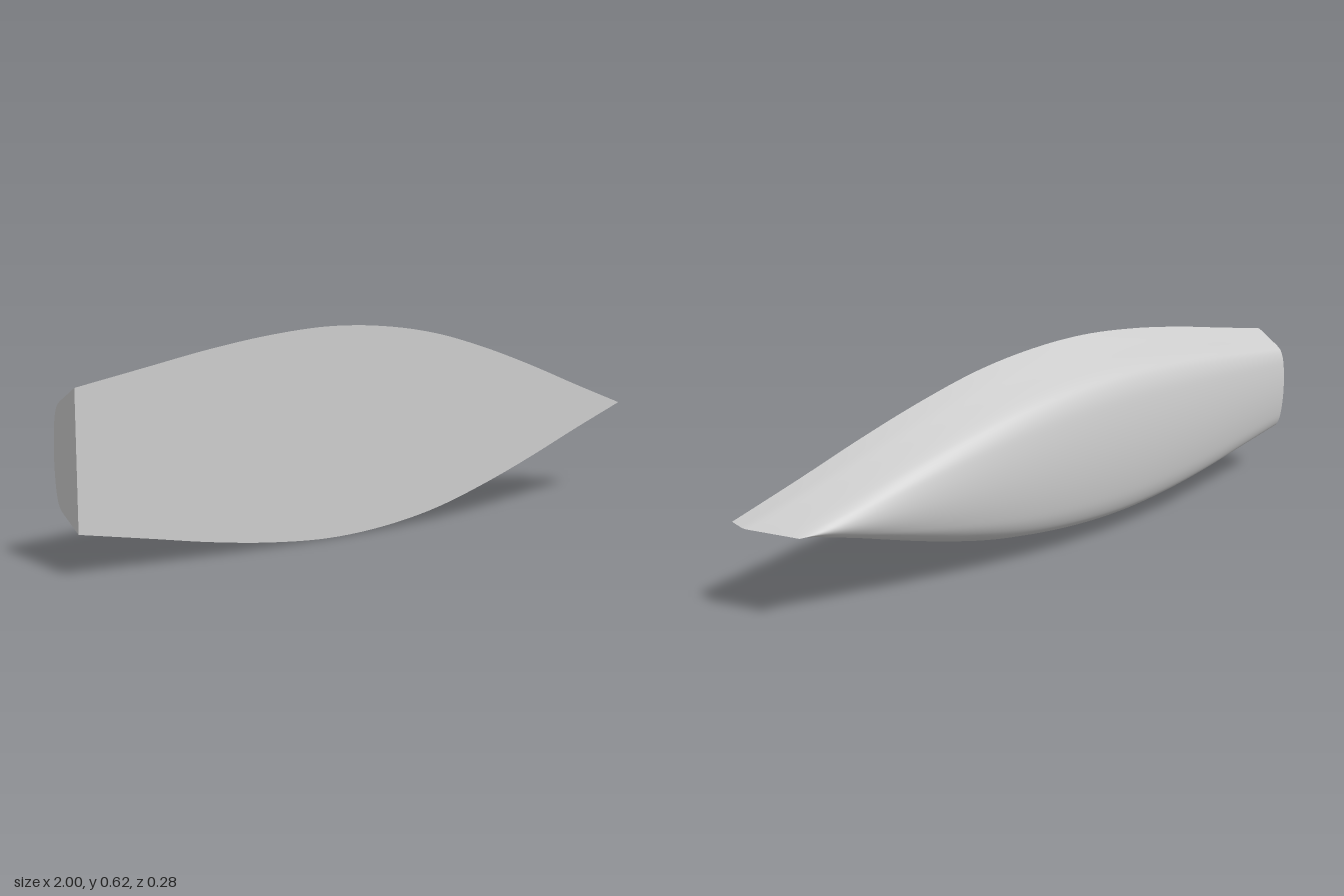
import * as THREE from 'three';

// Stations run from the transom (-x) to the bow (+x), evenly spaced.
const HALF_WIDTH = [0.19, 0.228, 0.266, 0.295, 0.31, 0.302, 0.272, 0.218, 0.15, 0.074, 0];
const DECK_Z = [0.07, 0.073, 0.077, 0.081, 0.085, 0.09, 0.097, 0.105, 0.115, 0.126, 0.139];
const KEEL_Z = [-0.055, -0.08, -0.105, -0.125, -0.136, -0.14, -0.139, -0.132, -0.121, -0.104, -0.075];
const MID_Y = 0.31;
const STATIONS = 60;
const AROUND = 56;

// Half cross-section as [share of width, share of depth], deck edge to keel
const HALF_SECTION = [[1, 0], [0.935, 0.2], [0.865, 0.4], [0.8, 0.6], [0.745, 0.74],
  [0.68, 0.835], [0.565, 0.91], [0.42, 0.955], [0.22, 0.988], [0, 1]];

function smooth(values) {
  const times = values.map((_, i) => i / (values.length - 1));
  const curve = new THREE.CubicInterpolant(times, values, 1, new Float32Array(1));
  return (t) => curve.evaluate(t)[0];
}

function surface(name, vertices, indices, material) {
  const geometry = new THREE.BufferGeometry();
  geometry.setAttribute('position', new THREE.Float32BufferAttribute(vertices, 3));
  geometry.setIndex(indices);
  geometry.computeVertexNormals();
  const mesh = new THREE.Mesh(geometry, material);
  mesh.name = name;
  return mesh;
}

// Triangles of a grid with `cols` points in each row
function gridIndices(rows, cols) {
  const out = [];
  for (let i = 0; i < rows - 1; i++) {
    for (let j = 0; j < cols - 1; j++) {
      const a = i * cols + j, b = a + cols;
      out.push(a, b, a + 1, b, b + 1, a + 1);
    }
  }
  return out;
}

export function createModel() {
  const group = new THREE.Group();
  group.name = 'boatHull';
  const grey = new THREE.MeshStandardMaterial({ color: 0xcccccc, side: THREE.DoubleSide });
  grey.name = 'hull grey';

  const width = smooth(HALF_WIDTH), deckZ = smooth(DECK_Z), keelZ = smooth(KEEL_Z);

  // Full section, from one deck edge round the keel to the other
  const half = HALF_SECTION.map(([r, f]) => new THREE.Vector2(r, f));
  const mirrored = half.slice(0, -1).reverse().map((p) => new THREE.Vector2(-p.x, p.y));
  const section = new THREE.SplineCurve([...half, ...mirrored]).getPoints(AROUND);

  const hull = [], deck = [], transom = [];
  for (let i = 0; i <= STATIONS; i++) {
    const s = i / STATIONS;
    const w = Math.max(0, width(s)), top = deckZ(s), keel = keelZ(s);
    for (const p of section) {
      // The stem is upright near the deck, then rakes back to the keel
      const rake = 0.08 * Math.max(0, (p.y - 0.29) / 0.71);
      const point = [-1 + s * (2 - rake), MID_Y + w * p.x, top + (keel - top) * p.y];
      hull.push(...point);
      if (i === 0) transom.push(...point);
    }
    deck.push(-1 + 2 * s, MID_Y - w, top, -1 + 2 * s, MID_Y + w, top);
  }

  // Rounded shell
  group.add(surface('hullShell', hull, gridIndices(STATIONS + 1, AROUND + 1), grey));

  // Flush deck following the sheer line
  group.add(surface('deck', deck, gridIndices(STATIONS + 1, 2), grey));

  // Flat transom at the stern
  const fan = [];
  for (let j = 1; j < AROUND; j++) fan.push(0, j, j + 1);
  group.add(surface('transom', transom, fan, grey));

  return group;
}
